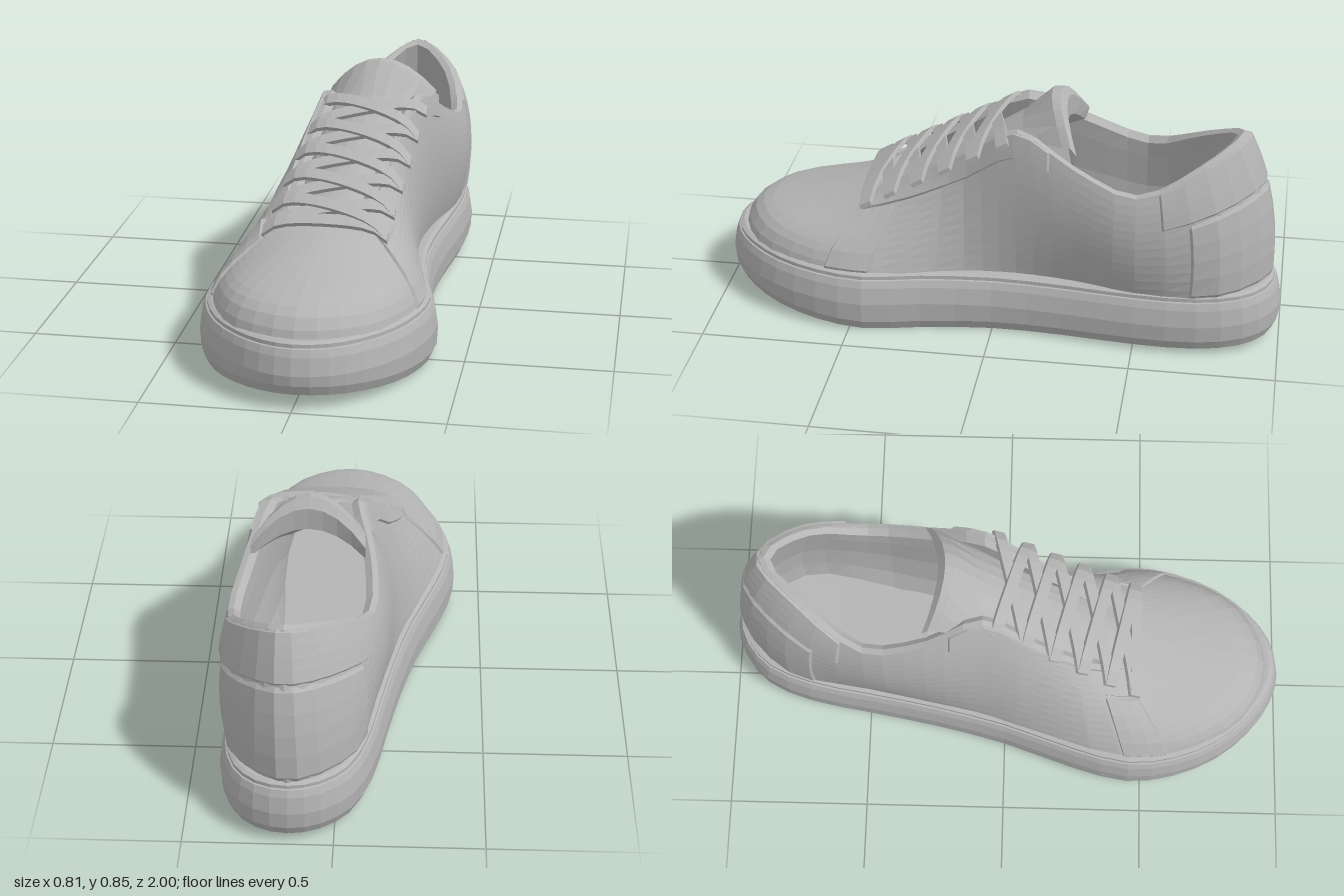
import * as THREE from 'three';

const V = (x, y, z) => new THREE.Vector3(x, y, z);
const { clamp, lerp, smoothstep } = THREE.MathUtils;
const grey = new THREE.MeshStandardMaterial({ color: 0xb4b4b4, flatShading: true, side: THREE.DoubleSide });
grey.name = 'light grey';

// Skin rows of points; every row has the same count, closed rows wrap round.
function loft(name, rows, closed = true) {
  const n = rows[0].length, pos = [], index = [];
  rows.forEach(row => row.forEach(p => pos.push(p.x, p.y, p.z)));
  for (let j = 0; j < rows.length - 1; j++) {
    for (let i = 0; i < (closed ? n : n - 1); i++) {
      const k = (i + 1) % n;
      const a = j * n + i, b = j * n + k, c = (j + 1) * n + k, d = (j + 1) * n + i;
      index.push(a, b, c, a, c, d);
    }
  }
  const geo = new THREE.BufferGeometry();
  geo.setAttribute('position', new THREE.Float32BufferAttribute(pos, 3));
  geo.setIndex(index);
  geo.computeVertexNormals();
  const mesh = new THREE.Mesh(geo, grey);
  mesh.name = name;
  return mesh;
}

// The spine of the shoe curves from the toe to the +x side of the heel.
const midX = z => 0.075 - 0.13 * clamp(z, -0.55, 0.55);

// Move a point sideways toward the spine.
function inset(p, d, zMin = -0.5, zMax = 0.3) {
  const z = clamp(p.z, zMin, zMax);
  const dir = V(midX(z) - p.x, 0, z - p.z).normalize();
  return p.clone().addScaledVector(dir, d);
}

// Closed curve: toe, +x side, heel, -x side. Rows give z, y, -x edge, +x edge.
function ring(toe, rows, heel) {
  return new THREE.CatmullRomCurve3([toe, ...rows.map(([z, y, , x]) => V(x, y, z)),
    heel, ...rows.map(([z, y, x]) => V(x, y, z)).reverse()], true);
}

// Sole outline: z, -x edge, +x edge
const SOLE = [
  [0.972, -0.11, 0.12], [0.9, -0.215, 0.22], [0.78, -0.315, 0.315], [0.62, -0.382, 0.38],
  [0.45, -0.403, 0.403], [0.25, -0.355, 0.36], [0, -0.27, 0.335], [-0.25, -0.21, 0.352],
  [-0.5, -0.165, 0.385], [-0.72, -0.125, 0.393], [-0.88, -0.06, 0.35], [-0.97, 0.04, 0.265]];
const outline = ring(V(0, 0, 1), SOLE.map(([z, r, l]) => [z, 0, r, l]), V(0.15, 0, -1))
  .getPoints(52).slice(0, -1);

const groundY = z => (z > 0.25 ? 0.055 * ((z - 0.25) / 0.75) ** 2 : 0.03 * ((0.25 - z) / 1.25) ** 1.3);
const topLift = z => 0.02 * z * z;

function soleRow(d, y, fromGround) {
  return outline.map(p => {
    const q = inset(p, d, -0.65, 0.55);
    q.y = y + (fromGround ? groundY(p.z) : topLift(p.z));
    return q;
  });
}
const spineRow = row => row.map(p => V(midX(p.z), p.y, p.z));

function sole() {
  const bottom = soleRow(0.02, 0, true), top = soleRow(0.04, 0.212);
  return loft('sole', [spineRow(bottom), bottom, soleRow(0.004, 0.035, true), soleRow(0, 0.105),
    soleRow(0.01, 0.165), soleRow(0.02, 0.19), soleRow(0.026, 0.192), soleRow(0.026, 0.205), top, spineRow(top)]);
}

// Upper: foot ring at the sole and edge ring round throat and collar
const foot = ring(V(0, 0.2, 0.955), [
  [0.87, 0.2, -0.21, 0.21], [0.65, 0.2, -0.335, 0.335], [0.42, 0.2, -0.36, 0.362], [0.1, 0.19, -0.27, 0.285],
  [-0.08, 0.19, -0.21, 0.27], [-0.28, 0.2, -0.165, 0.295], [-0.5, 0.2, -0.12, 0.348], [-0.8, 0.21, -0.06, 0.345],
], V(0.15, 0.22, -0.965));
const edge = ring(V(0.02, 0.435, 0.47), [
  [0.46, 0.435, -0.03, 0.07], [0.43, 0.44, -0.09, 0.13], [0.31, 0.505, -0.13, 0.165], [0.11, 0.635, -0.11, 0.215],
  [-0.08, 0.755, -0.07, 0.27], [-0.28, 0.66, -0.12, 0.33], [-0.5, 0.587, -0.12, 0.37], [-0.73, 0.69, 0.025, 0.305],
], V(0.16, 0.76, -0.86));
const STATIONS = 18;

// Point on the upper: u counts stations round the shoe, v runs foot to edge.
// The wall bulges outward between the rings: full at the heel, flat at the
// sides of the throat, and domed over the toes.
function wall(u, v) {
  const t = THREE.MathUtils.euclideanModulo(u / STATIONS, 1), h = clamp(v, 0, 1);
  const p = foot.getPoint(t).lerp(edge.getPoint(t), h);
  const arch = 4 * h * (1 - h), toe = Math.max(0, p.z - 0.4);
  const q = inset(p, -arch * (0.034 - 0.022 * smoothstep(p.z, -0.2, 0.2) + 0.12 * toe));
  q.y += 0.014 * arch + toe * h * (1 - h) ** 3;
  return q;
}
function wallNormal(u, v) {
  const du = wall(u + 0.05, v).sub(wall(u - 0.05, v));
  const dv = wall(u, v + 0.03).sub(wall(u, v - 0.03));
  return du.cross(dv).normalize();
}
const wallRow = v => Array.from({ length: STATIONS * 3 }, (_, i) => wall(i / 3, v));

// Raised overlay with bevelled borders; its lower border slopes from v0 to v0End.
function panel(name, u0, u1, v0, v1, lift, v0End = v0) {
  const steps = (a, b, n, e) => [a, ...Array.from({ length: n + 1 }, (_, i) => a + e + (b - a - 2 * e) * i / n), b];
  const us = steps(u0, u1, Math.ceil((u1 - u0) * 3), 0.03), vs = steps(0, 1, 4, 0.05);
  return loft(name, vs.map((f, j) => us.map((u, i) => {
    const border = i === 0 || j === 0 || i === us.length - 1 || j === vs.length - 1;
    const v = lerp(lerp(v0, v0End, (u - u0) / (u1 - u0)), v1, f);
    return wall(u, v).addScaledVector(wallNormal(u, v), border ? -0.002 : lift);
  })), false);
}

function lining() {
  const row = (v, d, dy) => wallRow(v).map(p => inset(p, d).add(V(0, dy, 0)));
  return loft('lining', [wallRow(1), row(1, 0.02, 0.006), row(1, 0.042, -0.012), row(0.8, 0.06, 0),
    row(0.5, 0.06, -0.01), row(0.25, 0.06, -0.02), row(0, 0.06, 0.01)]);
}

// Tongue: z and y of the middle, drop of the edges; it rolls over at the top.
const TONGUE = [
  [0.49, 0.405, 0.02], [0.3, 0.5, 0.03], [0.1, 0.625, 0.05], [-0.08, 0.75, 0.08], [-0.18, 0.85, 0.13],
  [-0.21, 0.853, 0.13], [-0.235, 0.82, 0.12], [-0.235, 0.74, 0.09], [-0.08, 0.66, 0.07], [0.1, 0.54, 0.04]];
function tongue() {
  return loft('tongue', TONGUE.map(([z, y, drop]) =>
    Array.from({ length: 9 }, (_, i) => {
      const s = i / 4 - 1, half = 0.16 - 0.15 * z;
      return V(midX(z) + 0.007 + s * half, y - drop * s * s, z - 0.45 * drop * s * s);
    })), false);
}

// Flat lace from the -x eyelet at z0 to the +x eyelet at z1
function lace(z0, z1, raise) {
  const w = V(0, -0.51, 0.86).multiplyScalar(0.022), n = V(0, 0.86, 0.51).multiplyScalar(0.008);
  const rows = Array.from({ length: 11 }, (_, i) => {
    const s = i / 5 - 1, z = lerp(z0, z1, i / 10);
    const half = 0.195 + 0.04 * clamp(z, 0, 0.5);
    const y = 0.457 + 0.6 * (0.47 - z) - 0.015 * s * s - 0.035 * s ** 6 + raise * (1 - s * s);
    const p = V(0.095 - 0.17 * z + s * half, y, z);
    return [[-1, 1], [1, 1], [1, -1], [-1, -1]]
      .map(([a, b]) => p.clone().addScaledVector(w, a).addScaledVector(n, b));
  });
  // Close both ends
  const cap = row => row.map(() => row[0].clone().lerp(row[2], 0.5));
  return loft('lace', [cap(rows[0]), ...rows, cap(rows[10])]);
}

export function createModel() {
  const shoe = new THREE.Group();
  shoe.name = 'shoe';
  shoe.add(sole());

  const insole = soleRow(0.11, 0.226);
  shoe.add(loft('insole', [insole, spineRow(insole)]));

  shoe.add(loft('upper', Array.from({ length: 13 }, (_, j) => wallRow(j / 12))), lining(), tongue());

  // Overlays, the eyestays mirrored to both sides
  const mirrored = u => STATIONS - u;
  shoe.add(
    panel('eyestay', 2.25, 5.6, 0.7, 1, 0.009, 0.86),
    panel('eyestay', mirrored(5.6), mirrored(2.25), 0.86, 1, 0.009, 0.7),
    panel('eyestayLeg', 2.25, 2.95, 0.02, 0.71, 0.009),
    panel('eyestayLeg', mirrored(2.95), mirrored(2.25), 0.02, 0.71, 0.009),
    panel('heelTab', 7.3, 10.7, 0.66, 1, 0.008),
    panel('heelCounter', 7.6, 10.4, 0.02, 0.65, 0.007));

  // Laces: one straight bar, then crossed pairs up the throat
  const laces = new THREE.Group();
  laces.name = 'laces';
  const eyelets = [0.46, 0.37, 0.27, 0.17, 0.07, -0.035];
  laces.add(lace(eyelets[0], eyelets[0], 0));
  for (let i = 0; i < 5; i++) {
    laces.add(lace(eyelets[i], eyelets[i + 1], 0), lace(eyelets[i + 1], eyelets[i], 0.014));
  }
  shoe.add(laces);
  return shoe;
}
